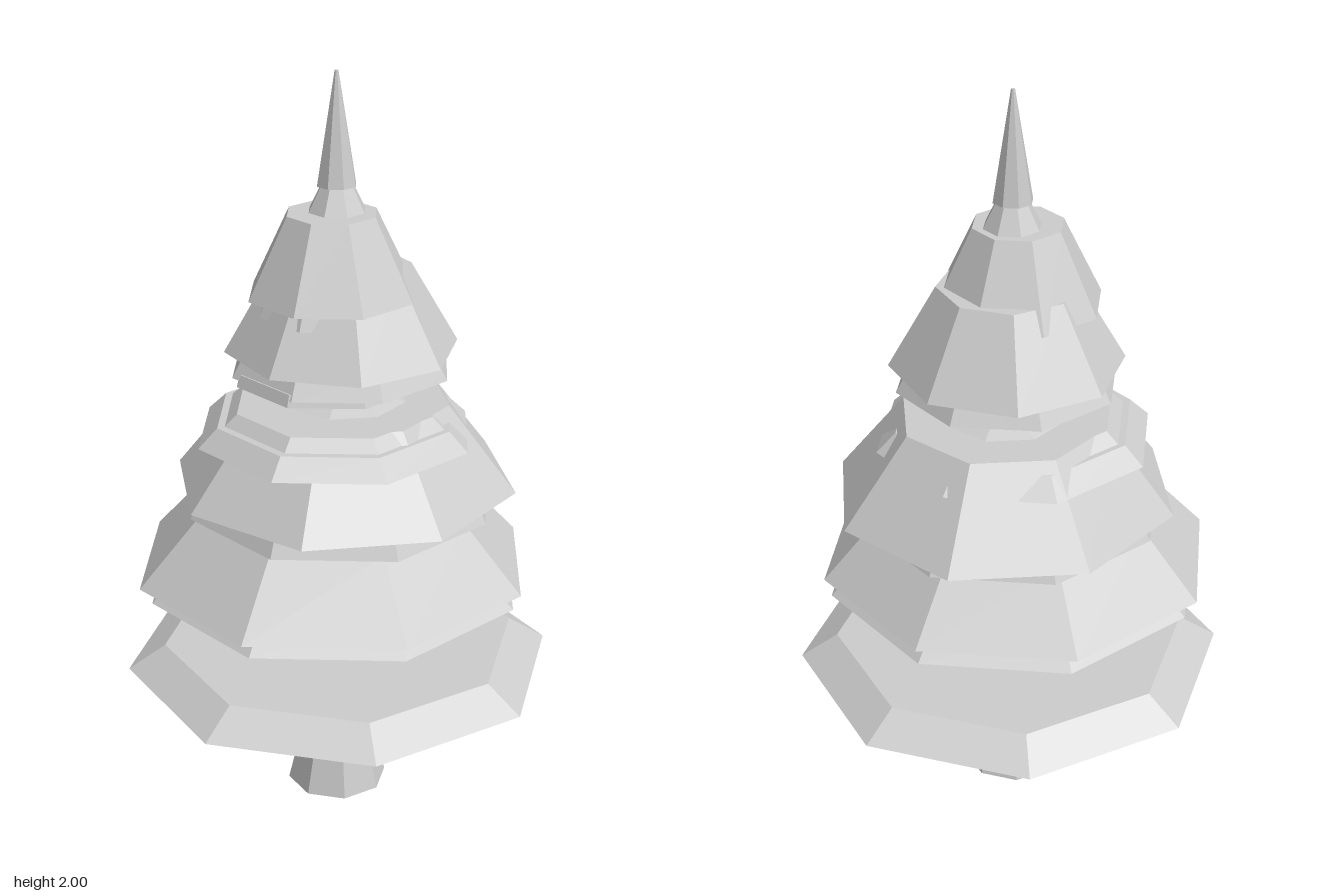
import * as THREE from 'three';

export function createModel() {
  const tree = new THREE.Group();
  tree.name = 'lowPolyTree';

  const grey = new THREE.MeshStandardMaterial({ color: 0xcccccc, flatShading: true });
  grey.name = 'plain light grey';

  // Quarter and half steps of an eight-sided ring
  const Q = Math.PI / 16;
  const H = Math.PI / 8;

  // Eight-sided frustum standing between two heights
  function frustum(name, y0, y1, r0, r1, x = 0, turn = 0) {
    const mesh = new THREE.Mesh(new THREE.CylinderGeometry(r1, r0, y1 - y0, 8), grey);
    mesh.name = name;
    mesh.position.set(x, (y0 + y1) / 2, 0);
    mesh.rotation.y = turn;
    tree.add(mesh);
  }

  frustum('trunk', 0, 0.12, 0.137, 0.108, -0.012);

  // Lower skirt, floating above the trunk
  frustum('skirt', 0.385, 0.45, 0.58, 0.48);

  // Lower boughs
  frustum('lowerBoughUnderside', 0.64, 0.72, 0.51, 0.43, -0.02, Q);
  frustum('lowerBough', 0.69, 0.87, 0.535, 0.37, -0.03, Q);

  // Middle boughs
  frustum('middleBoughUnderside', 0.86, 0.95, 0.415, 0.37, 0.003, Q);
  frustum('middleBough', 0.91, 1.14, 0.46, 0.278, 0.023, H);
  frustum('middleBoughRim', 1.06, 1.11, 0.372, 0.32, -0.02, Q);
  frustum('middleBoughLedge', 1.09, 1.14, 0.325, 0.27, -0.015, Q);
  frustum('middleBoughCap', 1.13, 1.155, 0.19, 0.127, 0.02, H);

  // Upper boughs
  frustum('upperBoughUnderside', 1.22, 1.25, 0.252, 0.24, -0.04, Q);
  frustum('upperBoughRim', 1.235, 1.30, 0.295, 0.26, 0.008, Q);
  frustum('upperBough', 1.285, 1.5, 0.305, 0.18, 0.01);
  frustum('crownUnderside', 1.395, 1.46, 0.2, 0.17, -0.025, Q);
  frustum('crown', 1.44, 1.65, 0.222, 0.119, -0.032, Q);

  // Tip
  frustum('tipCollar', 1.645, 1.73, 0.078, 0.035, -0.01, Q);
  frustum('tip', 1.715, 2, 0.052, 0.005, -0.012, Q);

  return tree;
}
